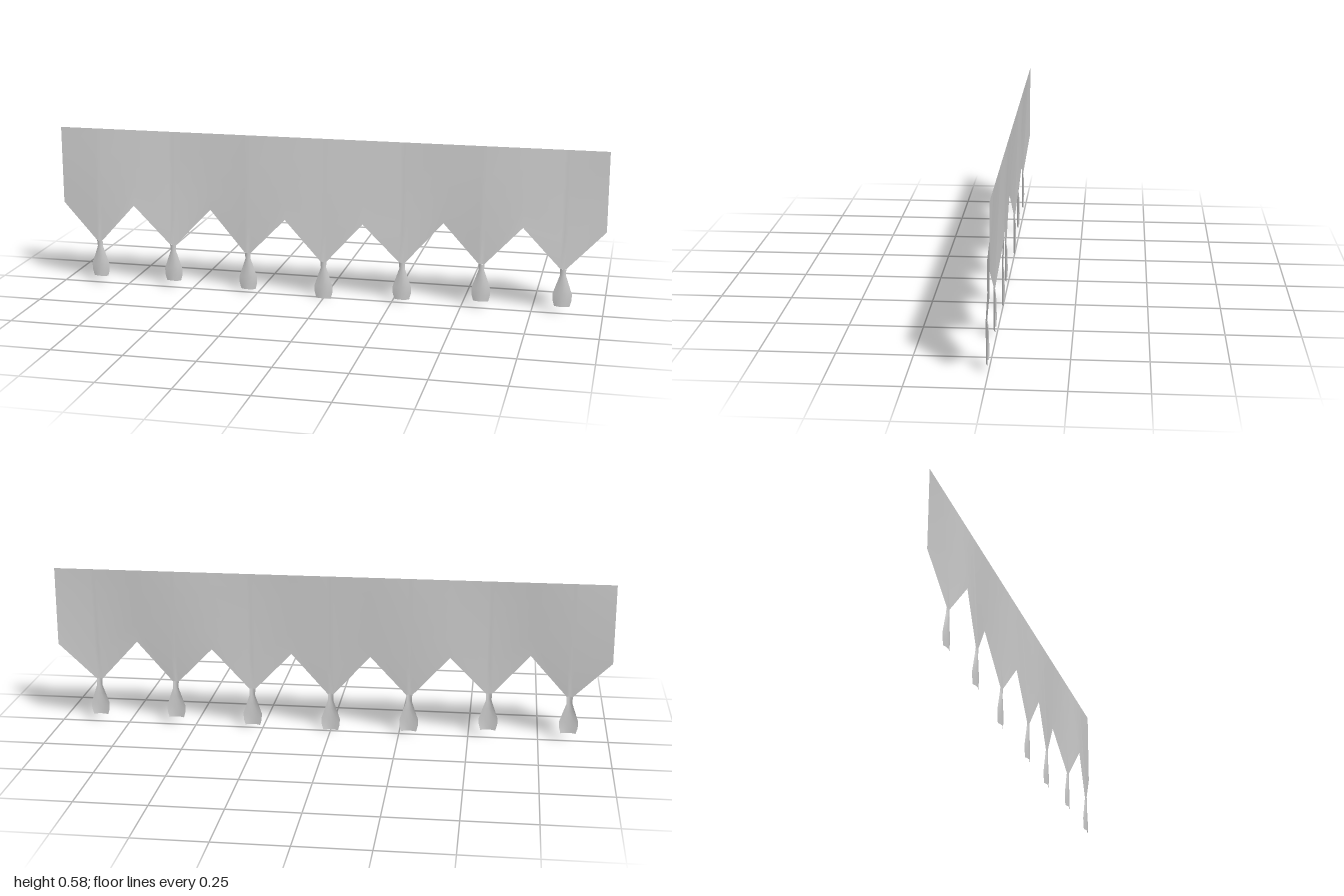
import * as THREE from 'three';

const TOP = 0.585, BACK = -0.016;
const NECK = 0.011, CUP = 0.008;

// Tassels of one half: x, bottom height, depth of the middle fold
const TIPS = [[0, 0, 0.015], [0.286, 0.012, 0.004], [0.571, 0.027, 0.009], [0.857, 0.027, 0.009]];
// Notches between the points: x, y, z
const NOTCHES = [[0.143, 0.285, 0.01], [0.43, 0.3, BACK], [0.714, 0.308, 0.017], [1, 0.3, BACK]];
// Tassel outline: half width, height above its bottom
const OUTLINE = [[NECK, 0.138], [0.01, 0.115], [0.022, 0.08], [0.034, 0.045], [0.033, 0.022], [0.027, 0]];

const material = new THREE.MeshStandardMaterial({ color: 0xcccccc, side: THREE.DoubleSide });

// Smooth sheet through rows of points, rows going down and points going to +x
function sheet(rows, name) {
  const cols = rows[0].length, index = [];
  for (let r = 0; r < rows.length - 1; r++) {
    for (let c = 0; c < cols - 1; c++) {
      const a = r * cols + c, b = a + cols;
      index.push(a, b, a + 1, a + 1, b, b + 1);
    }
  }
  const geometry = new THREE.BufferGeometry();
  geometry.setAttribute('position', new THREE.Float32BufferAttribute(rows.flat(2), 3));
  geometry.setIndex(index);
  geometry.computeVertexNormals();
  const mesh = new THREE.Mesh(geometry, material);
  mesh.name = name;
  return mesh;
}

export function createModel() {
  const group = new THREE.Group();
  group.name = 'tasselledValance';

  const tips = [...TIPS.slice(1).map(([x, y, z]) => [-x, y, z]), ...TIPS];
  const notches = [...NOTCHES.map(([x, y, z]) => [-x, y, z]), ...NOTCHES];

  // Lower hem: notches plus the cupped neck above each tassel
  const hem = [...notches];
  for (const [x, y, z] of tips) {
    for (const s of [-1, 0, 1]) hem.push([x + s * NECK, y + 0.138, z - Math.abs(s) * CUP * 0.6]);
  }
  hem.sort((a, b) => a[0] - b[0]);

  // Cloth falling from the straight top edge to the waved hem
  const rows = [0, 0.25, 0.5, 0.75, 1].map(t => hem.map(([x, y, z]) =>
    [x, TOP + (y - TOP) * t, BACK + (z - BACK) * t]));
  group.add(sheet(rows, 'cloth'));

  // Hanging tassels, each a cupped drop with its middle forward
  for (const [x, y, z] of tips) {
    const drop = OUTLINE.map(([w, h], i) => [-1, -0.5, 0, 0.5, 1].map(s =>
      [x + s * w, y + h, z - s * s * CUP * (i === 0 ? 0.6 : 1)]));
    group.add(sheet(drop, 'tassel'));
  }
  return group;
}
